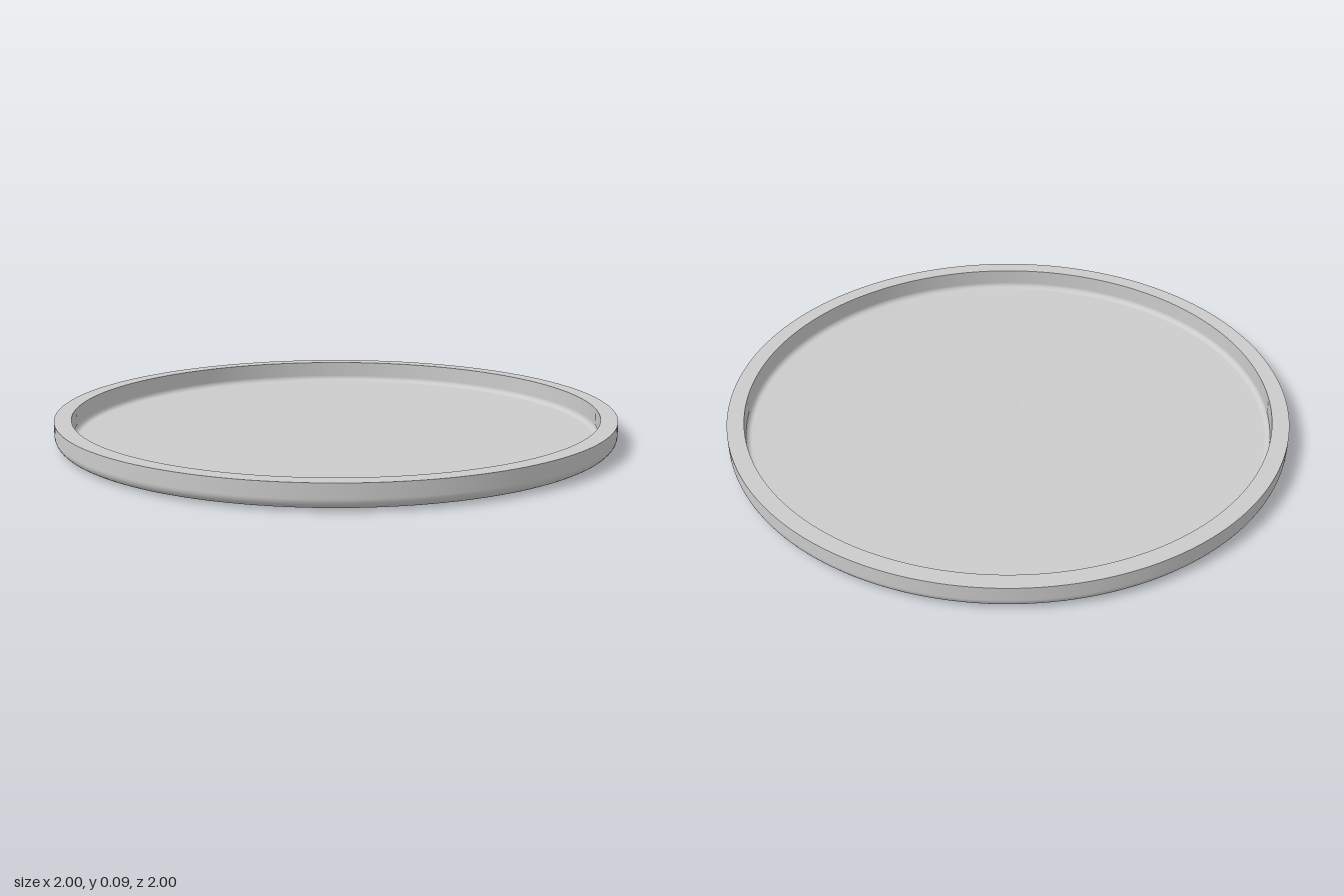
import * as THREE from 'three';

const SEGMENTS = 160;
const HEIGHT = 0.09;
const OUTER = 1;
const INNER = 0.94;

// Quarter-circle fillet points around (cx, cy), swept between two angles
function fillet(cx, cy, r, from, to, steps = 8) {
  return Array.from({ length: steps + 1 }, (_, i) => {
    const a = from + ((to - from) * i) / steps;
    return new THREE.Vector2(cx + r * Math.cos(a), cy + r * Math.sin(a));
  });
}

// Very shallow bowl: height at a given radius
function dish(base, rise, radii) {
  return radii.map((r) => new THREE.Vector2(r, base + rise * r * r));
}

export function createModel() {
  const model = new THREE.Group();
  model.name = 'roundTray';
  const material = new THREE.MeshStandardMaterial({ color: 0xcccccc });

  function addLathe(name, profile) {
    const mesh = new THREE.Mesh(new THREE.LatheGeometry(profile, SEGMENTS), material);
    mesh.name = name;
    model.add(mesh);
  }

  const half = Math.PI / 2;
  const outerR = 0.035;
  const innerR = 0.02;

  // Underside, rounded lower edge and outer wall
  addLathe('outerShell', [
    ...dish(0, 0.006, [0, 0.3, 0.6, 0.85]),
    ...fillet(OUTER - outerR, 0.006 + outerR, outerR, -half, 0),
    new THREE.Vector2(OUTER, HEIGHT),
  ]);

  // Flat rim, kept separate so that its edges stay sharp
  addLathe('rim', [
    new THREE.Vector2(OUTER, HEIGHT),
    new THREE.Vector2(INNER, HEIGHT),
  ]);

  // Inner wall, small fillet and floor
  addLathe('innerFloor', [
    new THREE.Vector2(INNER, HEIGHT),
    ...fillet(INNER - innerR, 0.013 + innerR, innerR, 0, -half),
    ...dish(0.009, 0.004, [0.85, 0.6, 0.3, 0]),
  ]);

  return model;
}
